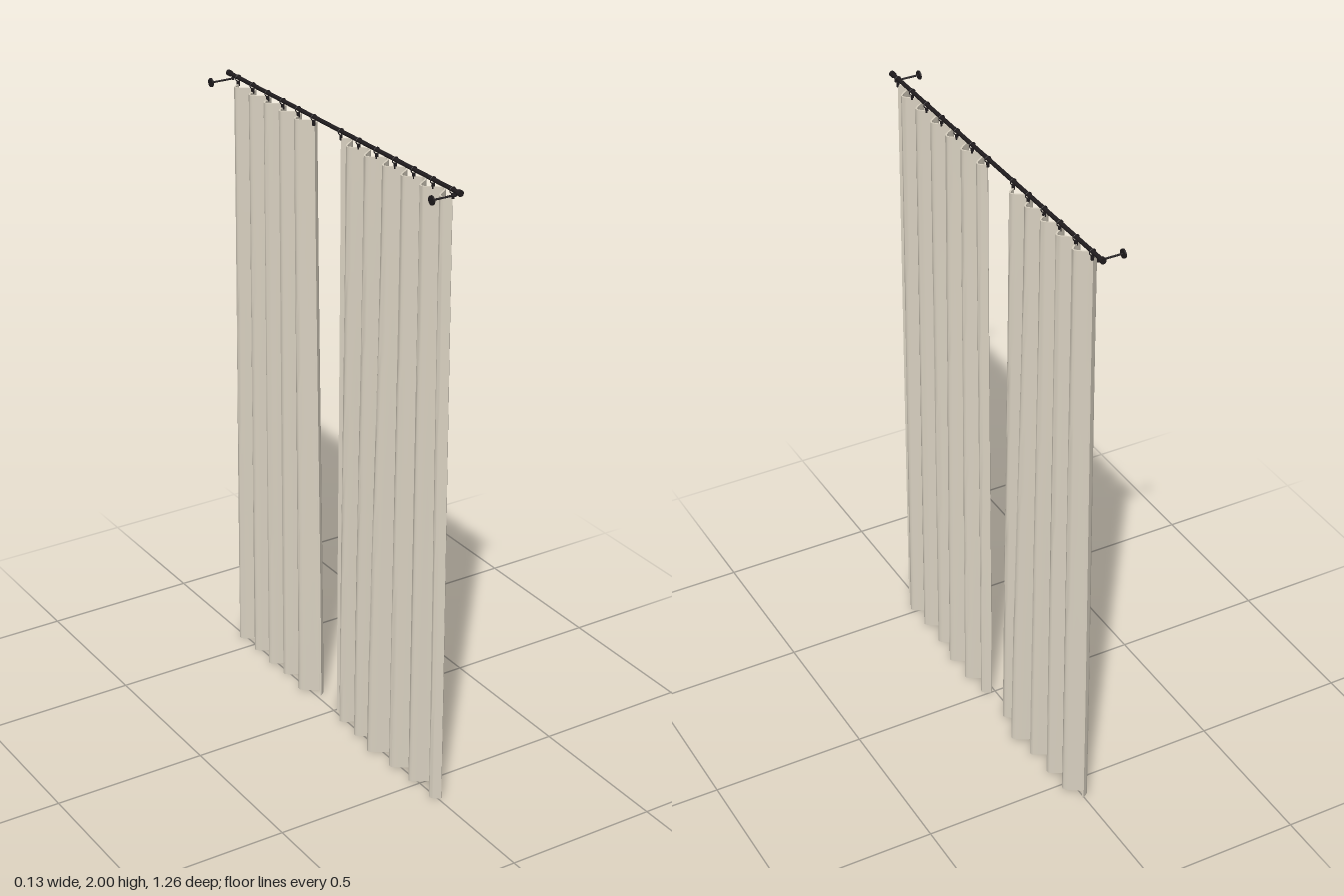
import * as THREE from 'three';
import { toCreasedNormals } from 'three/addons/utils/BufferGeometryUtils.js';

const fabric = new THREE.MeshStandardMaterial({ color: 0xd8d0c0 });
fabric.name = 'beige fabric';
const metal = new THREE.MeshStandardMaterial({ color: 0x1f1b1d });
metal.name = 'dark metal';

const ROD_X = 0.012, ROD_Y = 1.989;
const TOP = 1.968, THICK = 0.005;

function add(parent, name, geometry, material, x = 0, y = 0, z = 0) {
  const mesh = new THREE.Mesh(geometry, material);
  mesh.name = name;
  mesh.position.set(x, y, z);
  parent.add(mesh);
  return mesh;
}

// Hanging cloth with thickness: the regular folds at the top blend into the looser hem.
// hem: [z, x] of each fold's crest and trough; zStart to zEnd: the first and last ring
function curtainGeometry(hem, zStart, zEnd) {
  const folds = (hem.length - 2) / 2, period = (zEnd - zStart) / folds;
  const head = hem.map((_, i) => {
    if (i === 0) return [zStart, ROD_X];
    if (i === hem.length - 1) return [zEnd, ROD_X];
    return [zStart + period * (i * 0.5 - 0.25), ROD_X + (i % 2 ? 0.022 : -0.024)];
  });
  const N = folds * 20, ROWS = 24, ring = 2 * (N + 1);
  const pos = [], index = [];
  const quad = (a, b, c, d) => index.push(a, b, c, a, c, d);
  for (let r = 0; r <= ROWS; r++) {
    const s = r / ROWS;
    const t = THREE.MathUtils.lerp(s, s * s * (3 - 2 * s), 0.6);
    const curve = new THREE.CatmullRomCurve3(hem.map(([z, x], i) => new THREE.Vector3(
      THREE.MathUtils.lerp(head[i][1], x, t), 0, THREE.MathUtils.lerp(head[i][0], z, t))));
    const y = TOP * (1 - s);
    const front = [], back = [];
    for (let i = 0; i <= N; i++) {
      const p = curve.getPoint(i / N), d = curve.getTangent(i / N);
      const nx = d.z * THICK / 2, nz = -d.x * THICK / 2;
      front.push([p.x + nx, y, p.z + nz]);
      back.unshift([p.x - nx, y, p.z - nz]);
    }
    front.concat(back).forEach((p) => pos.push(...p));
  }
  const flip = zEnd < zStart;
  for (let r = 0; r < ROWS; r++) {
    for (let i = 0; i < ring; i++) {
      const j = (i + 1) % ring, a = r * ring, b = a + ring;
      quad(a + i, a + j, b + j, b + i);
    }
  }
  // Top and bottom edges
  for (let i = 0; i < N; i++) {
    const k = ring - 1 - i, b = ROWS * ring;
    quad(i, k, k - 1, i + 1);
    quad(b + i, b + i + 1, b + k - 1, b + k);
  }
  // The loop runs the same way round for either direction; keep faces outward
  const g = new THREE.BufferGeometry();
  g.setAttribute('position', new THREE.Float32BufferAttribute(pos, 3));
  g.setIndex(index);
  if (outwardVolume(pos, index) < 0) {
    for (let i = 0; i < index.length; i += 3) [index[i + 1], index[i + 2]] = [index[i + 2], index[i + 1]];
    g.setIndex(index);
  }
  return toCreasedNormals(g, Math.PI / 3);
}

// Signed volume of a closed mesh, positive when its faces point outward
function outwardVolume(pos, index) {
  const v = (i) => new THREE.Vector3().fromArray(pos, i * 3);
  let sum = 0;
  for (let i = 0; i < index.length; i += 3) {
    sum += v(index[i]).dot(v(index[i + 1]).cross(v(index[i + 2])));
  }
  return sum;
}

// Ring round the rod with a small clip gripping the cloth
function curtainRing(z) {
  const g = new THREE.Group();
  g.name = 'curtainRing';
  g.position.set(ROD_X, 0, z);
  add(g, 'ring', new THREE.TorusGeometry(0.0095, 0.0016, 8, 20), metal, 0, ROD_Y - 0.002, 0);
  add(g, 'clip', new THREE.BoxGeometry(0.008, 0.016, 0.006), metal, 0, 1.97, 0);
  return g;
}

// Wall bracket: plate, arm and the cradle under the rod
function bracket(z) {
  const g = new THREE.Group();
  g.name = 'wallBracket';
  g.position.set(0, 1.977, z);
  add(g, 'wallPlate', new THREE.CylinderGeometry(0.014, 0.014, 0.005, 24), metal, -0.0665).rotation.z = Math.PI / 2;
  add(g, 'arm', new THREE.CylinderGeometry(0.003, 0.003, 0.08, 12), metal, -0.028).rotation.z = Math.PI / 2;
  add(g, 'cradle', new THREE.CylinderGeometry(0.004, 0.004, 0.014, 12), metal, ROD_X, 0.003);
  return g;
}

export function createModel() {
  const model = new THREE.Group();
  model.name = 'curtains';

  // Rod with end caps
  add(model, 'rod', new THREE.CylinderGeometry(0.0065, 0.0065, 1.25, 20), metal, ROD_X, ROD_Y).rotation.x = Math.PI / 2;
  for (const side of [-1, 1]) {
    add(model, 'rodEnd', new THREE.CylinderGeometry(0.0095, 0.0095, 0.012, 20), metal,
      ROD_X, ROD_Y, side * 0.626).rotation.x = Math.PI / 2;
    model.add(bracket(side * 0.605));
  }

  // Two curtains of different widths
  const panels = [
    { name: 'wideCurtain', from: 0.02, to: 0.592, hem: [
      [0, 0.012], [0.02, 0.038], [0.065, -0.015], [0.11, 0.05], [0.16, -0.02], [0.215, 0.053], [0.26, -0.036],
      [0.32, 0.04], [0.37, -0.024], [0.425, 0.04], [0.47, -0.018], [0.518, 0.044], [0.58, -0.015], [0.604, 0.01]] },
    { name: 'narrowCurtain', from: -0.13, to: -0.573, hem: [
      [-0.1, 0.012], [-0.125, 0.034], [-0.175, -0.023], [-0.23, 0.062], [-0.285, -0.015], [-0.325, 0.046],
      [-0.37, -0.02], [-0.425, 0.041], [-0.47, -0.016], [-0.515, 0.036], [-0.565, -0.018], [-0.584, 0.004]] },
  ];
  for (const { name, from, to, hem } of panels) {
    add(model, name, curtainGeometry(hem, from, to), fabric);
    const count = (hem.length - 2) / 2;
    for (let i = 0; i <= count; i++) model.add(curtainRing(from + (to - from) * i / count));
  }
  return model;
}
